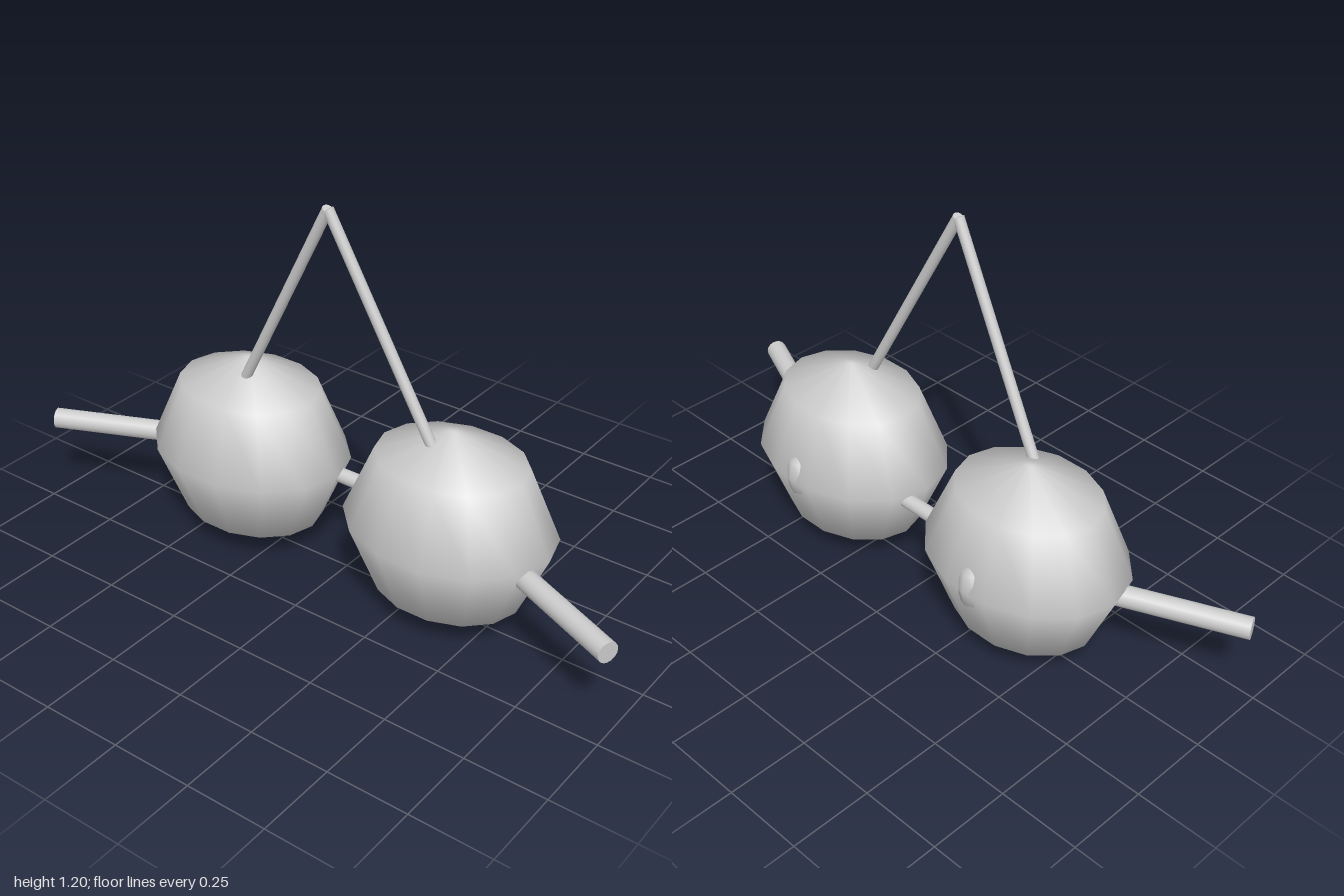
import * as THREE from 'three';

export function createModel() {
  const model = new THREE.Group();
  const grey = new THREE.MeshStandardMaterial({ color: 0xcccccc });
  grey.name = 'pale grey';

  function add(name, geometry) {
    const mesh = new THREE.Mesh(geometry, grey);
    mesh.name = name;
    model.add(mesh);
    return mesh;
  }

  // Straight round rod between two points
  function rod(name, from, to, radius) {
    const a = new THREE.Vector3(...from);
    const b = new THREE.Vector3(...to);
    const dir = b.clone().sub(a);
    const mesh = add(name, new THREE.CylinderGeometry(radius, radius, dir.length(), 16));
    mesh.position.copy(a).add(b).multiplyScalar(0.5);
    mesh.quaternion.setFromUnitVectors(new THREE.Vector3(0, 1, 0), dir.normalize());
  }

  // Low-sided ball profile: five rings with tiny flat tips
  const profile = [
    [0, 0], [0.015, 0], [0.23, 0.09], [0.325, 0.3025],
    [0.23, 0.515], [0.015, 0.605], [0, 0.605],
  ].map(([r, y]) => new THREE.Vector2(r, y));

  for (const [side, s] of [['left', 1], ['right', -1]]) {
    // Ball, narrower from front to back
    const ball = add(side + 'Ball', new THREE.LatheGeometry(profile, 14, Math.PI / 2));
    ball.scale.z = 0.8;
    ball.position.x = s * 0.362;

    // Small oval bump on the back
    const bump = new THREE.SphereGeometry(1, 8, 4);
    bump.scale(0.045, 0.075, 0.04);
    add(side + 'BackBump', bump).position.set(s * 0.36, 0.3025, -0.22);

    // Outer arm angled forward
    rod(side + 'Arm', [s * 0.55, 0.273, 0.023], [s * 0.987, 0.273, 0.214], 0.032);

    // Slanted hanger meeting above the middle
    rod(side + 'Hanger', [s * 0.355, 0.52, 0.052], [0, 1.19, 0.083], 0.016);
  }

  // Bar joining the two balls
  rod('bridge', [-0.14, 0.273, -0.053], [0.14, 0.273, -0.053], 0.023);

  return model;
}
